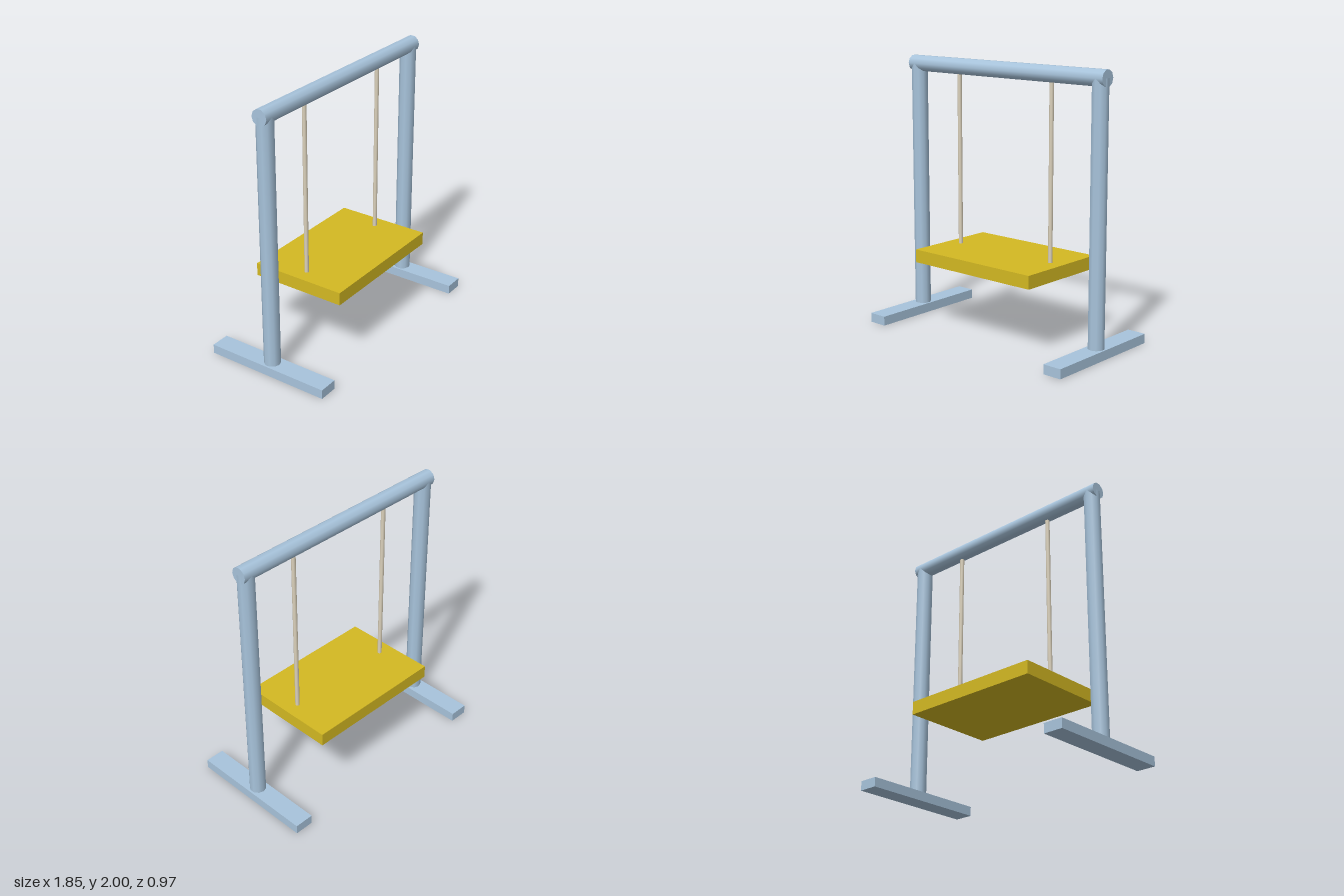
import * as THREE from 'three';

export function createModel() {
  const group = new THREE.Group();
  const blue = new THREE.MeshStandardMaterial({ color: 0xa8c4dc });
  const yellow = new THREE.MeshStandardMaterial({ color: 0xd4b922 });
  const cream = new THREE.MeshStandardMaterial({ color: 0xddd3bd });
  blue.name = 'steel blue';
  yellow.name = 'seat yellow';
  cream.name = 'rope cream';

  const add = (name, geometry, material, x, y, z = 0) => {
    const mesh = new THREE.Mesh(geometry, material);
    mesh.name = name;
    mesh.position.set(x, y, z);
    group.add(mesh);
    return mesh;
  };
  const rod = (r, length, sides) => new THREE.CylinderGeometry(r, r, length, sides);

  const beamY = 1.9425, footTop = 0.07, seatTop = 0.61;

  // Top beam, lying along x
  add('topBeam', rod(0.0605, 1.815, 10), blue, 0, beamY).rotation.z = Math.PI / 2;

  // Feet, posts and ropes, mirrored left and right
  for (const [side, s] of [['left', 1], ['right', -1]]) {
    add(side + 'Foot', new THREE.BoxGeometry(0.145, footTop, 0.97), blue, s * 0.85, footTop / 2);
    add(side + 'Post', rod(0.0605, beamY - footTop, 10), blue, s * 0.85, (beamY + footTop) / 2);
    add(side + 'Rope', rod(0.016, beamY - seatTop, 8), cream, s * 0.435, (beamY + seatTop) / 2);
  }

  // Seat board
  add('seat', new THREE.BoxGeometry(1.09, 0.097, 0.73), yellow, 0, seatTop - 0.0485);
  return group;
}
